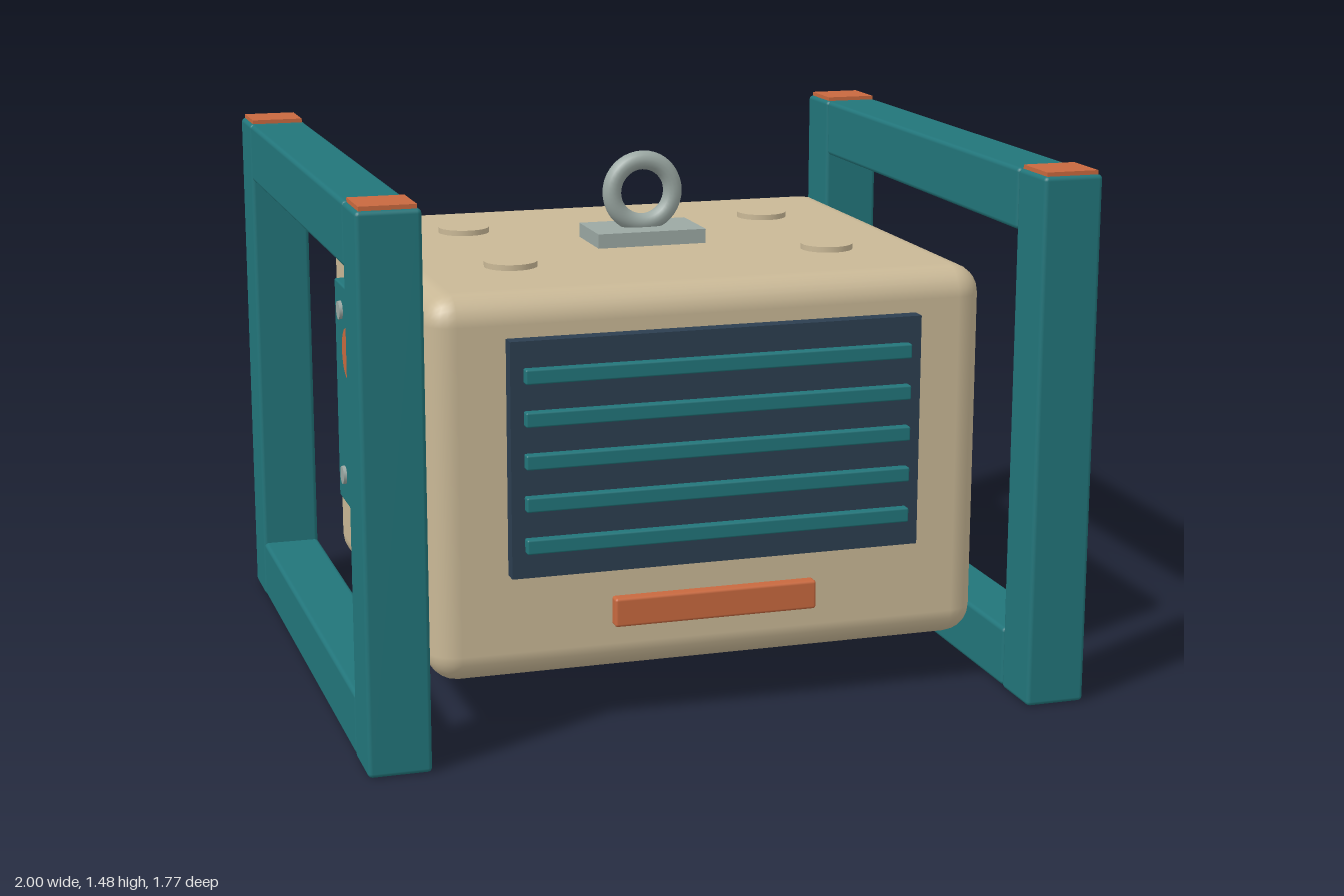
import * as THREE from 'three';
import { RoundedBoxGeometry } from 'three/addons/geometries/RoundedBoxGeometry.js';

const material = (name, color) => {
  const m = new THREE.MeshStandardMaterial({ color });
  m.name = name;
  return m;
};

export function createModel() {
  const group = new THREE.Group();
  const teal = material('teal', 0x22757a);
  const tan = material('tan', 0xc9b896);
  const navy = material('navy', 0x2c3e50);
  const orange = material('orange', 0xc8693f);
  const grey = material('grey', 0x9ba8a3);

  const add = (name, geometry, mat, x, y, z) => {
    const mesh = new THREE.Mesh(geometry, mat);
    mesh.name = name;
    mesh.position.set(x, y, z);
    group.add(mesh);
    return mesh;
  };
  const box = (name, w, h, d, mat, x, y, z) =>
    add(name, new THREE.BoxGeometry(w, h, d), mat, x, y, z);
  const rounded = (name, w, h, d, r, mat, x, y, z, segments = 2) =>
    add(name, new RoundedBoxGeometry(w, h, d, segments, r), mat, x, y, z);
  // Disc facing the left or right side
  const sideDisc = (name, r, depth, mat, x, y, z) => {
    const disc = add(name, new THREE.CylinderGeometry(r, r, depth, 24), mat, x, y, z);
    disc.rotation.z = Math.PI / 2;
  };

  // Housing
  rounded('housing', 1.554, 1.05, 1.32, 0.08, tan, 0, 0.665, 0, 3);

  // Side frames: posts with caps, and upper and lower rails
  for (const x of [-0.916, 0.916]) {
    for (const z of [-0.803, 0.803]) {
      rounded('post', 0.168, 1.465, 0.168, 0.012, teal, x, 0.7325, z);
      box('postCap', 0.147, 0.02, 0.147, orange, x, 1.466, z);
    }
    for (const y of [0.087, 1.381]) {
      rounded('rail', 0.166, 0.168, 1.434, 0.012, teal, x, y, 0);
    }
  }

  // Front vent with slats, and handle below it
  box('ventPanel', 1.14, 0.637, 0.045, navy, 0, 0.757, 0.681);
  for (let i = -2; i <= 2; i++) {
    rounded('ventSlat', 1.07, 0.04, 0.03, 0.005, teal, 0, 0.757 + i * 0.114, 0.715);
  }
  rounded('frontHandle', 0.57, 0.08, 0.04, 0.008, orange, 0, 0.314, 0.672);

  // Lifting eye on its plate
  box('liftPlate', 0.316, 0.045, 0.2, grey, 0, 1.208, 0);
  add('liftRing', new THREE.TorusGeometry(0.09, 0.027, 14, 40), grey, 0, 1.33, 0);

  // Round covers on the top
  for (const x of [-0.457, 0.457]) {
    for (const z of [-0.275, 0.275]) {
      add('topCover', new THREE.CylinderGeometry(0.073, 0.073, 0.025, 32), tan, x, 1.193, z);
    }
  }

  // Control panel with screws, button and blank label
  rounded('controlPanel', 0.04, 0.66, 0.865, 0.006, teal, -0.792, 0.715, 0);
  for (const y of [0.472, 0.968]) {
    for (const z of [-0.335, 0.335]) {
      sideDisc('panelScrew', 0.027, 0.02, grey, -0.812, y, z);
    }
  }
  sideDisc('button', 0.074, 0.03, orange, -0.82, 0.88, -0.14);
  box('labelPlate', 0.009, 0.145, 0.53, tan, -0.813, 0.602, 0.07);

  return group;
}
